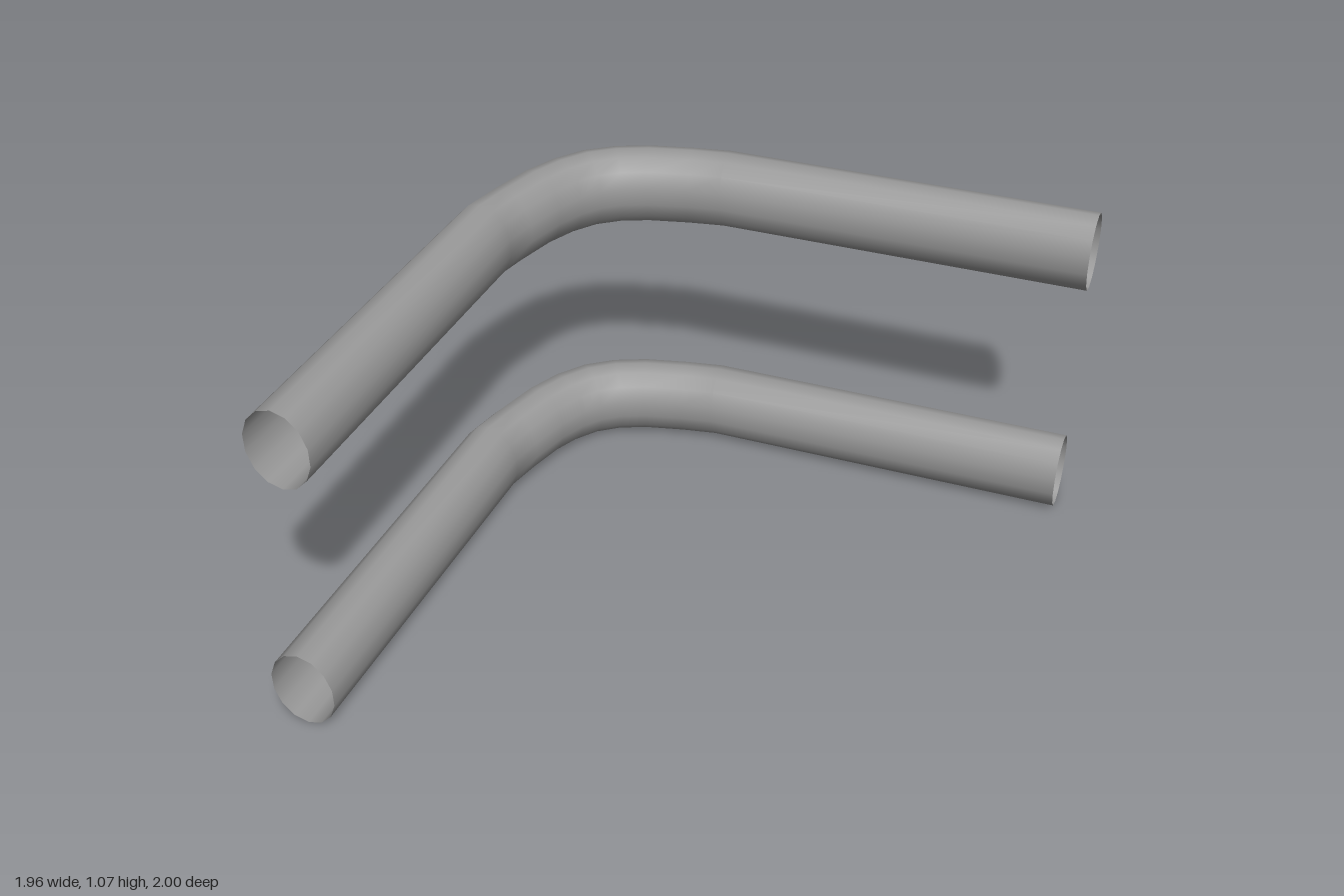
import * as THREE from 'three';

const SIDES = 14, RX = 0.104, RY = 0.13;

// Centre line of a bent rail in plan, as (x, z): straight, rounded bend, straight
const bend = new THREE.SplineCurve([
  [-0.86, -0.29], [-0.793, -0.56], [-0.685, -0.745], [-0.51, -0.843], [-0.25, -0.896],
].map(([x, z]) => new THREE.Vector2(x, z)));
const PATH = [
  new THREE.Vector2(-0.88, 0.93),
  ...bend.getPoints(8),
  new THREE.Vector2(0.982, -0.89),
];

// Sweep an upright oval along the plan path, with mitred joints and open ends
function railGeometry() {
  const positions = [], index = [];
  const last = PATH.length - 1;
  const direction = (i) => PATH[i + 1].clone().sub(PATH[i]).normalize();
  PATH.forEach((p, i) => {
    const before = direction(Math.max(i - 1, 0));
    const after = direction(Math.min(i, last - 1));
    const t = before.clone().add(after).normalize();
    const width = RX / t.dot(after);
    for (let j = 0; j < SIDES; j++) {
      const a = ((j + 0.5) / SIDES) * Math.PI * 2;
      const w = width * Math.cos(a);
      positions.push(p.x + t.y * w, RY * Math.sin(a), p.y - t.x * w);
      if (i < last) {
        const k = (j + 1) % SIDES, r = i * SIDES;
        index.push(r + j, r + k, r + SIDES + j, r + k, r + SIDES + k, r + SIDES + j);
      }
    }
  });
  const geometry = new THREE.BufferGeometry();
  geometry.setAttribute('position', new THREE.Float32BufferAttribute(positions, 3));
  geometry.setIndex(index);
  geometry.computeVertexNormals();
  return geometry;
}

export function createModel() {
  const group = new THREE.Group();
  group.name = 'bentRails';
  const material = new THREE.MeshStandardMaterial({ color: 0x999999, side: THREE.DoubleSide });
  const geometry = railGeometry();

  // Two equal rails, the lower one set slightly forward
  for (const [name, y, z] of [['upperRail', 0.942, 0], ['lowerRail', 0.131, 0.071]]) {
    const rail = new THREE.Mesh(geometry, material);
    rail.name = name;
    rail.position.set(0, y, z);
    group.add(rail);
  }
  return group;
}
